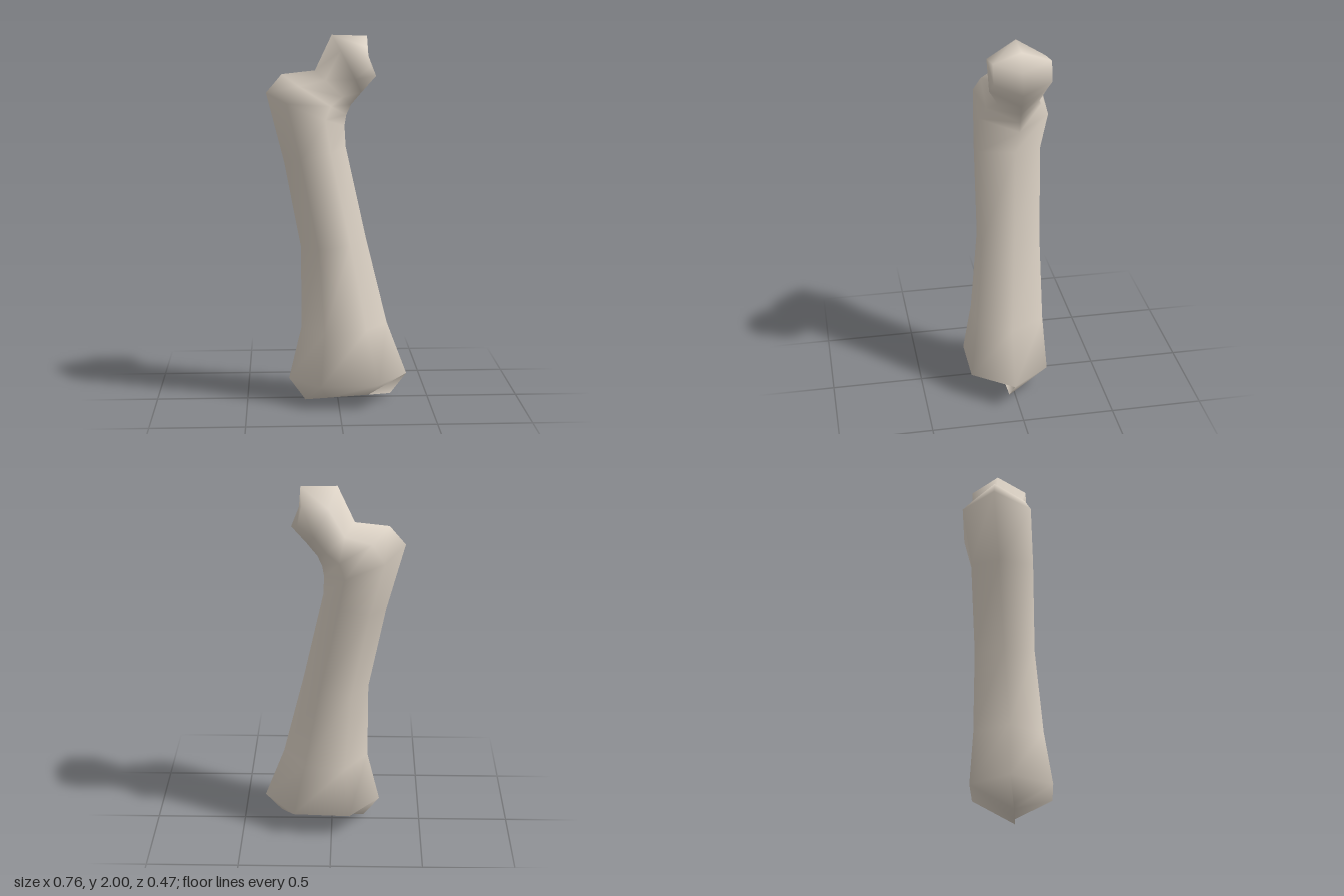
import * as THREE from 'three';

// Each cross-section is a hexagon: outer corner, two front, inner corner, two back.
// [outer x, outer y, inner x, inner y, middle z, front z, back z, x shift of front/back corners]
const SECTIONS = [
  [-0.18, 0.00, 0.29, 0.03, 0.04, 0.042, 0.038, 0], // bottom ridge
  [-0.27, 0.12, 0.38, 0.14, 0.025, 0.24, -0.188, 0], // knee end
  [-0.20, 0.41, 0.27, 0.43, 0.02, 0.195, -0.172, 0],
  [-0.20, 0.85, 0.155, 0.90, -0.01, 0.152, -0.168, 0],
  [-0.29, 1.32, 0.045, 1.40, -0.035, 0.148, -0.188, 0],
  [-0.385, 1.69, 0.04, 1.51, -0.06, 0.138, -0.235, 0], // hip end
  [-0.30, 1.79, 0.05, 1.57, -0.06, 0.105, -0.19, 0],
  [-0.12, 1.81, 0.075, 1.625, -0.06, 0.055, -0.165, 0], // neck
  [-0.03, 2.00, 0.13, 1.69, -0.05, 0.11, -0.198, 0], // ball
  [0.16, 1.995, 0.21, 1.78, -0.045, 0.10, -0.203, -0.025],
];

function hexagon([lx, ly, rx, ry, zm, zf, zb, shift]) {
  const at = (t, z, dx) => [lx + (rx - lx) * t + dx, ly + (ry - ly) * t, z];
  return [
    at(0, zm, 0), at(0.26, zf, shift), at(0.74, zf, shift),
    at(1, zm, 0), at(0.74, zb, shift), at(0.26, zb, shift),
  ];
}

// Skins the hexagons and closes both ends with a fan
function loft(rings) {
  const n = rings[0].length;
  const points = rings.flat();
  const index = [];
  for (let r = 0; r < rings.length - 1; r++) {
    for (let i = 0; i < n; i++) {
      const a = r * n + i, b = r * n + (i + 1) % n;
      index.push(a, b, b + n, a, b + n, a + n);
    }
  }
  const centre = (ring) => [0, 1, 2].map((k) => ring.reduce((s, p) => s + p[k], 0) / n);
  const last = (rings.length - 1) * n;
  const bottom = points.push(centre(rings[0])) - 1;
  const top = points.push(centre(rings[rings.length - 1])) - 1;
  for (let i = 0; i < n; i++) {
    const j = (i + 1) % n;
    index.push(bottom, j, i, top, last + i, last + j);
  }
  const geometry = new THREE.BufferGeometry();
  geometry.setAttribute('position', new THREE.Float32BufferAttribute(points.flat(), 3));
  geometry.setIndex(index);
  geometry.computeVertexNormals();
  return geometry;
}

export function createModel() {
  const group = new THREE.Group();
  group.name = 'thighBone';
  const bone = new THREE.MeshStandardMaterial({ color: 0xdbd1c4 });
  bone.name = 'bone';
  const mesh = new THREE.Mesh(loft(SECTIONS.map(hexagon)), bone);
  mesh.name = 'boneShaftAndEnds';
  group.add(mesh);
  return group;
}
